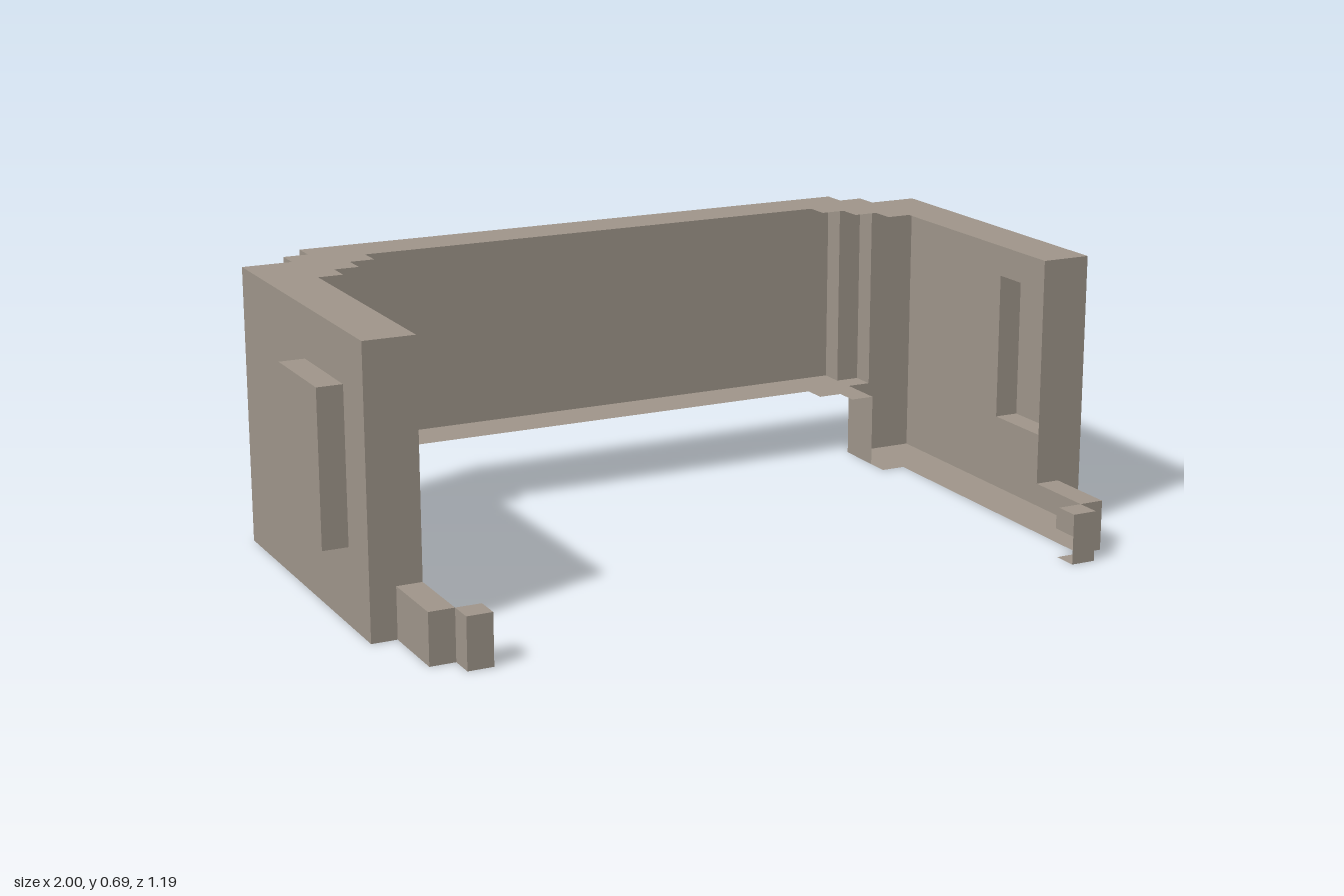
import * as THREE from 'three';

const U = 1 / 16; // one block unit

const stone = new THREE.MeshStandardMaterial({ color: 0xa0968b, side: THREE.DoubleSide });
stone.name = 'warm grey';

function part(name, geometry) {
  const mesh = new THREE.Mesh(geometry, stone);
  mesh.name = name;
  return mesh;
}

// Upright strip following [x, z] points between two heights
function strip(name, points, y0, y1) {
  const pos = [];
  for (let i = 0; i < points.length - 1; i++) {
    const [ax, az] = points[i], [bx, bz] = points[i + 1];
    pos.push(ax, y0, az, bx, y0, bz, bx, y1, bz, ax, y0, az, bx, y1, bz, ax, y1, az);
  }
  const g = new THREE.BufferGeometry();
  g.setAttribute('position', new THREE.Float32BufferAttribute(pos, 3));
  g.computeVertexNormals();
  return part(name, g);
}

// Level plate from an [x, z] outline, facing up or down
function plate(name, points, y, up) {
  const s = up ? -1 : 1;
  const shape = new THREE.Shape(points.map(([x, z]) => new THREE.Vector2(x, s * z)));
  return part(name, new THREE.ShapeGeometry(shape).rotateX(s * Math.PI / 2).translate(0, y, 0));
}

// Continue a half outline onto the -x side
const mirrored = (half) => [...half, ...half.map(([x, z]) => [-x, z]).reverse()];

// Side wall in the plane x, from z0 (front) to z1 (back)
function sideFace(name, x, z0, z1, y0, y1, hole) {
  const rect = (C, a, b, c, d) => new C([[-a, c], [-b, c], [-b, d], [-a, d]].map((p) => new THREE.Vector2(...p)));
  const shape = rect(THREE.Shape, z0, z1, y0, y1);
  if (hole) shape.holes.push(rect(THREE.Path, ...hole));
  return part(name, new THREE.ShapeGeometry(shape).rotateY(Math.PI / 2).translate(x, 0, 0));
}

function buildSide(name) {
  const side = new THREE.Group();
  side.name = name;

  // Wall shell, open towards the middle
  side.add(
    sideFace('sideWall', 15, 5.5, -7.5, 0, 11, [3.5, -0.5, 3, 9]),
    strip('wallFrontOuter', [[14, 5.5], [15, 5.5]], 0, 11),
    strip('wallFrontInner', [[13, 5.5], [14, 5.5]], 2, 11),
    strip('wallBackLower', [[15, -7.5], [12, -7.5]], 0, 3),
    strip('wallBackUpper', [[15, -7.5], [13, -7.5]], 3, 11),
    strip('footInner', [[12, -7.5], [12, -5.5]], 0, 3),
    plate('wallFloor', [[13, 5.5], [15, 5.5], [15, -7.5], [12, -7.5], [12, -4.5], [13, -4.5]], 0, false)
  );

  // Raised side panel, hollow behind
  side.add(
    sideFace('panelFace', 16, 3.5, -0.5, 3, 9),
    strip('panelFront', [[15, 3.5], [16, 3.5]], 3, 9),
    strip('panelBack', [[16, -0.5], [15, -0.5]], 3, 9)
  );
  const panel = [[15, 3.5], [16, 3.5], [16, -0.5], [15, -0.5]];
  side.add(plate('panelTop', panel, 9, true), plate('panelBottom', panel, 3, false));

  // Low stepped arm reaching forward
  side.add(strip('armOuter', [[12, 9.5], [13, 9.5], [13, 8.5], [14, 8.5], [14, 5.5]], 0, 2));
  const arm = [[13, 5.5], [14, 5.5], [14, 8.5], [13, 8.5]];
  const tip = [[12, 8.5], [13, 8.5], [13, 9.5], [12, 9.5]];
  for (const [label, outline] of [['arm', arm], ['armTip', tip]]) {
    side.add(plate(label + 'Top', outline, 2, true), plate(label + 'Bottom', outline, 0, false));
  }
  return side;
}

export function createModel() {
  const model = new THREE.Group();
  model.name = 'blockSurround';

  const left = buildSide('leftSide');
  const right = buildSide('rightSide');
  right.scale.x = -1;
  model.add(left, right);

  // Back panel with stepped corners
  const corner = [[13, -7.5], [13, -8.5], [12, -8.5], [12, -9.5]];
  model.add(strip('backPanel', mirrored(corner), 3, 11));

  // Underside of the back panel
  const inner = [[10, -7.5], [10, -6.5], [11, -6.5], [11, -5.5], [12, -5.5]];
  model.add(plate('backFloor', mirrored([...inner, [12, -7.5], ...corner]), 3, false));

  // Top rim running round the back and both sides
  model.add(plate('topRim', mirrored([
    ...inner.slice(0, 4), [12, -5.5], [12, -4.5], [13, -4.5], [13, 5.5], [15, 5.5], [15, -7.5], ...corner
  ]), 11, true));

  model.scale.setScalar(U);
  const root = new THREE.Group();
  root.name = 'surround';
  root.add(model);
  return root;
}
